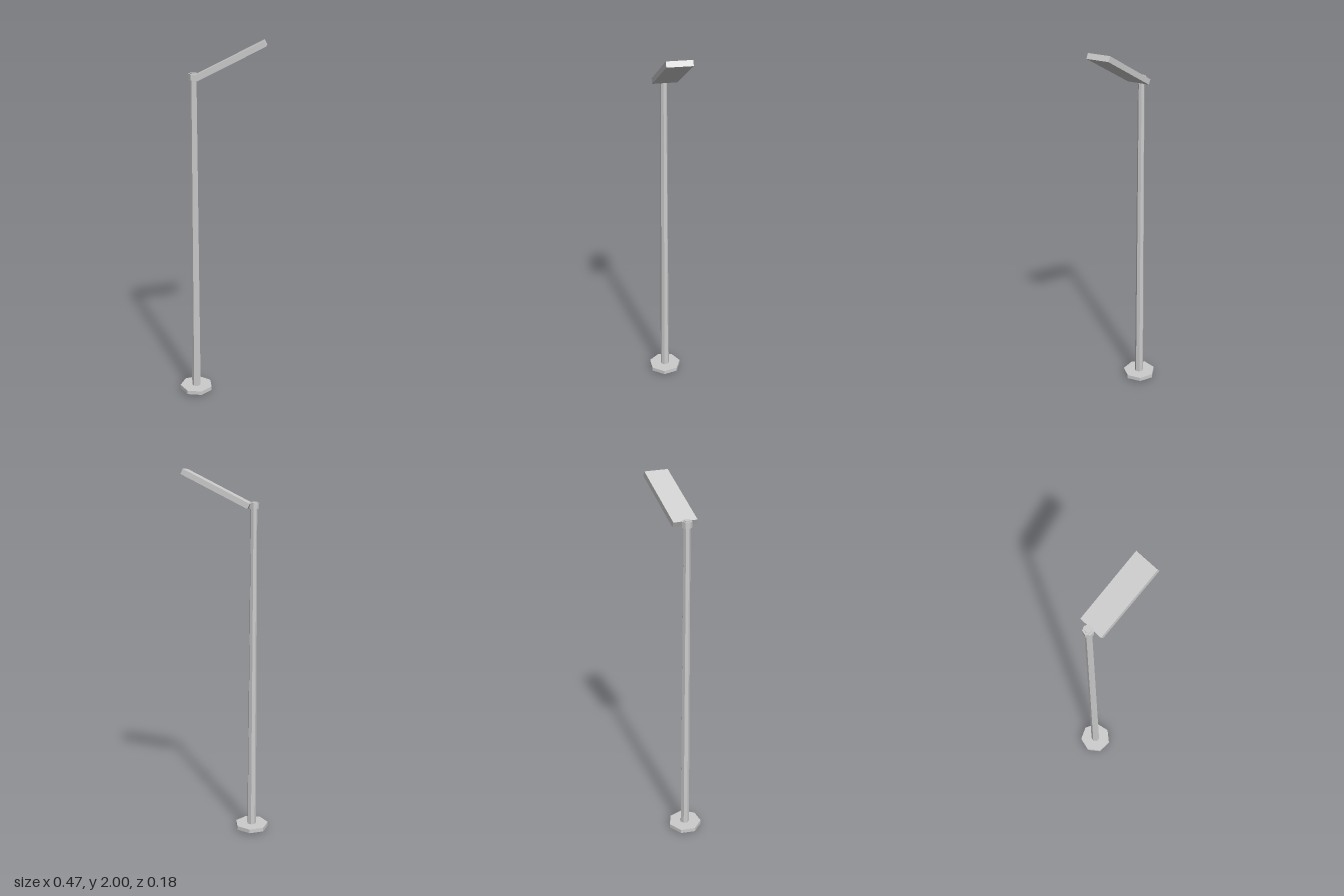
import * as THREE from 'three';

const SIDES = 7;
const POLE_X = -0.143;
const AXIS_Z = 0.0035;

export function createModel() {
  const model = new THREE.Group();
  const material = new THREE.MeshStandardMaterial({ color: 0xcccccc, flatShading: true });

  function add(name, geometry, x, y) {
    const mesh = new THREE.Mesh(geometry, material);
    mesh.name = name;
    mesh.position.set(x, y, AXIS_Z);
    model.add(mesh);
    return mesh;
  }

  // Upright seven-sided prism between two heights, one corner pointing to the back
  function prism(name, topRadius, bottomRadius, y0, y1) {
    const geometry = new THREE.CylinderGeometry(topRadius, bottomRadius, y1 - y0, SIDES, 1, false, Math.PI);
    return add(name, geometry, POLE_X, (y0 + y1) / 2);
  }

  // Foot plate, tapered pole passing through it, and collar at the top
  prism('basePlate', 0.0935, 0.0935, 0.011, 0.033);
  prism('pole', 0.0175, 0.0255, 0, 1.834);
  prism('collar', 0.0275, 0.0275, 1.797, 1.829);

  // Slanted flat lamp panel
  const panel = add('lampPanel', new THREE.BoxGeometry(0.389, 0.029, 0.131), 0.0515, 1.8995);
  panel.rotation.z = THREE.MathUtils.degToRad(26.8);

  return model;
}
